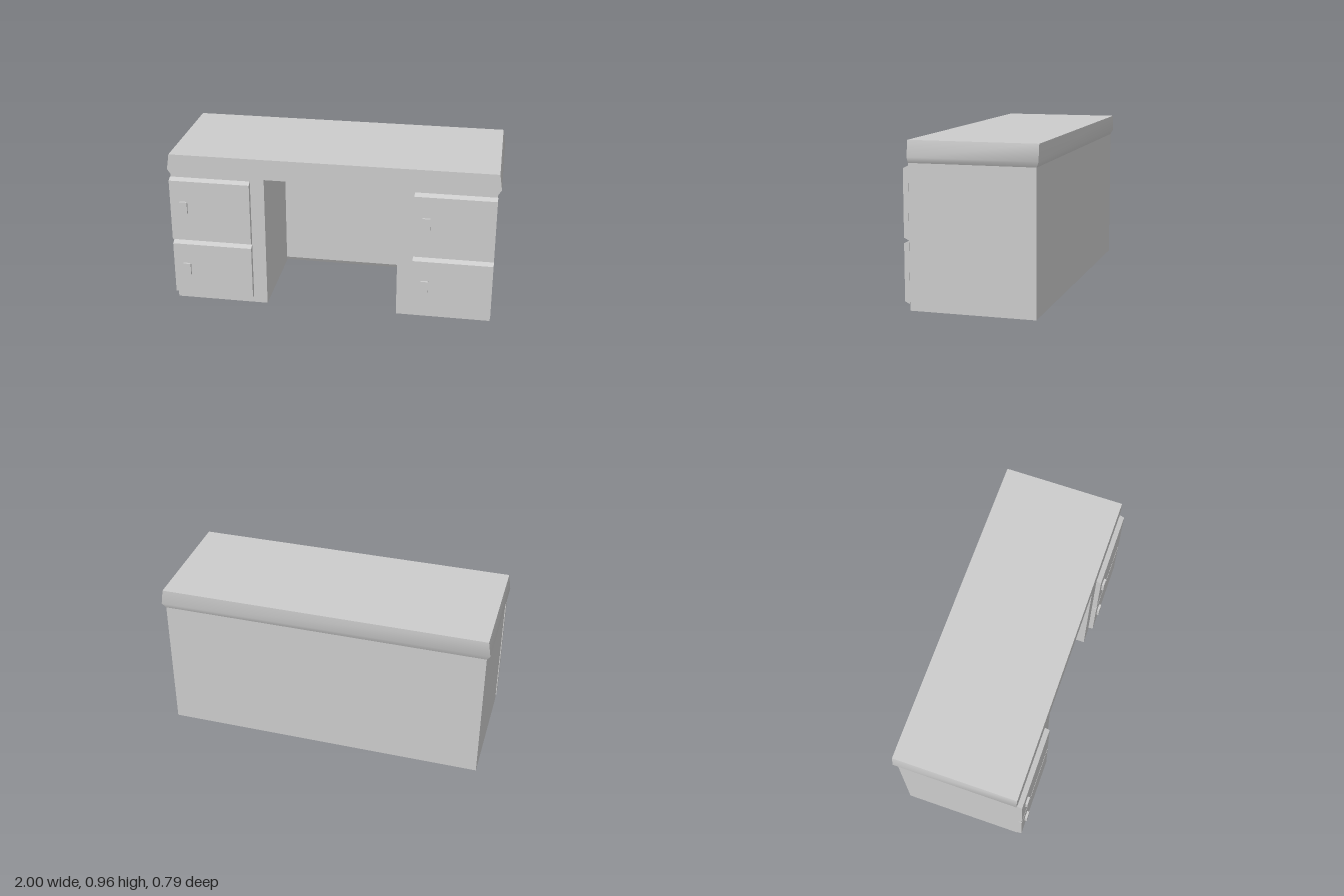
import * as THREE from 'three';
import { toCreasedNormals } from 'three/addons/utils/BufferGeometryUtils.js';

const FRONT = 0.355, BACK = -0.38, SIDE = 0.98, KNEE = 0.405, KNEE_BACK = -0.24, BODY_H = 0.837;

// Apply a rule to every vertex, then rebuild the normals
function reshape(geometry, rule, crease = 0.3) {
  const p = geometry.attributes.position, v = new THREE.Vector3();
  for (let i = 0; i < p.count; i++) {
    rule(v.fromBufferAttribute(p, i));
    p.setXYZ(i, v.x, v.y, v.z);
  }
  return toCreasedNormals(geometry, crease);
}

export function createModel() {
  const group = new THREE.Group();
  const material = new THREE.MeshStandardMaterial({ color: 0xcccccc });
  const add = (name, geometry, parent = group) => {
    const mesh = new THREE.Mesh(geometry, material);
    mesh.name = name;
    parent.add(mesh);
    return mesh;
  };

  // Body: U-shaped plan (pedestals and back panel) extruded upward
  const plan = new THREE.Shape([
    [-SIDE, FRONT], [-KNEE, FRONT], [-KNEE, KNEE_BACK], [KNEE, KNEE_BACK],
    [KNEE, FRONT], [SIDE, FRONT], [SIDE, BACK], [-SIDE, BACK],
  ].map(([x, z]) => new THREE.Vector2(x, -z)));
  const body = new THREE.ExtrudeGeometry(plan, { depth: BODY_H, steps: 2, bevelEnabled: false });
  body.rotateX(-Math.PI / 2);
  add('deskBody', reshape(body, v => {
    // Low bevel along the foot of the knee-space panel
    if (Math.abs(v.y - BODY_H / 2) < 0.01) v.y = 0.025;
    if (v.y < 0.01 && Math.abs(v.z - KNEE_BACK) < 0.01) v.z -= 0.015;
  }));

  // Desktop: flares out at the sides and back, flush at the front
  const rings = [[SIDE, BODY_H, BACK], [1, 0.87, -0.395], [0.985, 0.965, -0.395]];
  add('desktop', reshape(new THREE.BoxGeometry(2, 1, 1, 1, 2, 1), v => {
    const [x, y, back] = rings[Math.round((v.y + 0.5) * 2)];
    v.set(Math.sign(v.x) * x, y, v.z > 0 ? FRONT : back);
  }, 0.75));

  // Drawers: fronts with sloped top and bottom edges, each with a small handle
  const columns = [
    { side: 'right', x0: -0.985, x1: -0.49, handleX: -0.901 },
    { side: 'left', x0: 0.5, x1: 0.982, handleX: 0.576 },
  ];
  const rows = [
    { level: 'Upper', y0: 0.402, y1: 0.822, handleY: 0.637 },
    { level: 'Lower', y0: 0.038, y1: 0.401, handleY: 0.22 },
  ];
  for (const { side, x0, x1, handleX } of columns) {
    for (const { level, y0, y1, handleY } of rows) {
      const drawer = new THREE.Group();
      drawer.name = `${side}${level}Drawer`;
      group.add(drawer);
      add('drawerFront', reshape(new THREE.BoxGeometry(1, 1, 1), v => {
        const inset = v.z > 0 ? 0.015 : 0;
        v.set(v.x > 0 ? x1 : x0, v.y > 0 ? y1 - inset : y0 + inset, v.z > 0 ? 0.385 : FRONT);
      }), drawer);
      add('handle', new THREE.BoxGeometry(0.047, 0.074, 0.015), drawer)
        .position.set(handleX, handleY, 0.3915);
    }
  }
  return group;
}
